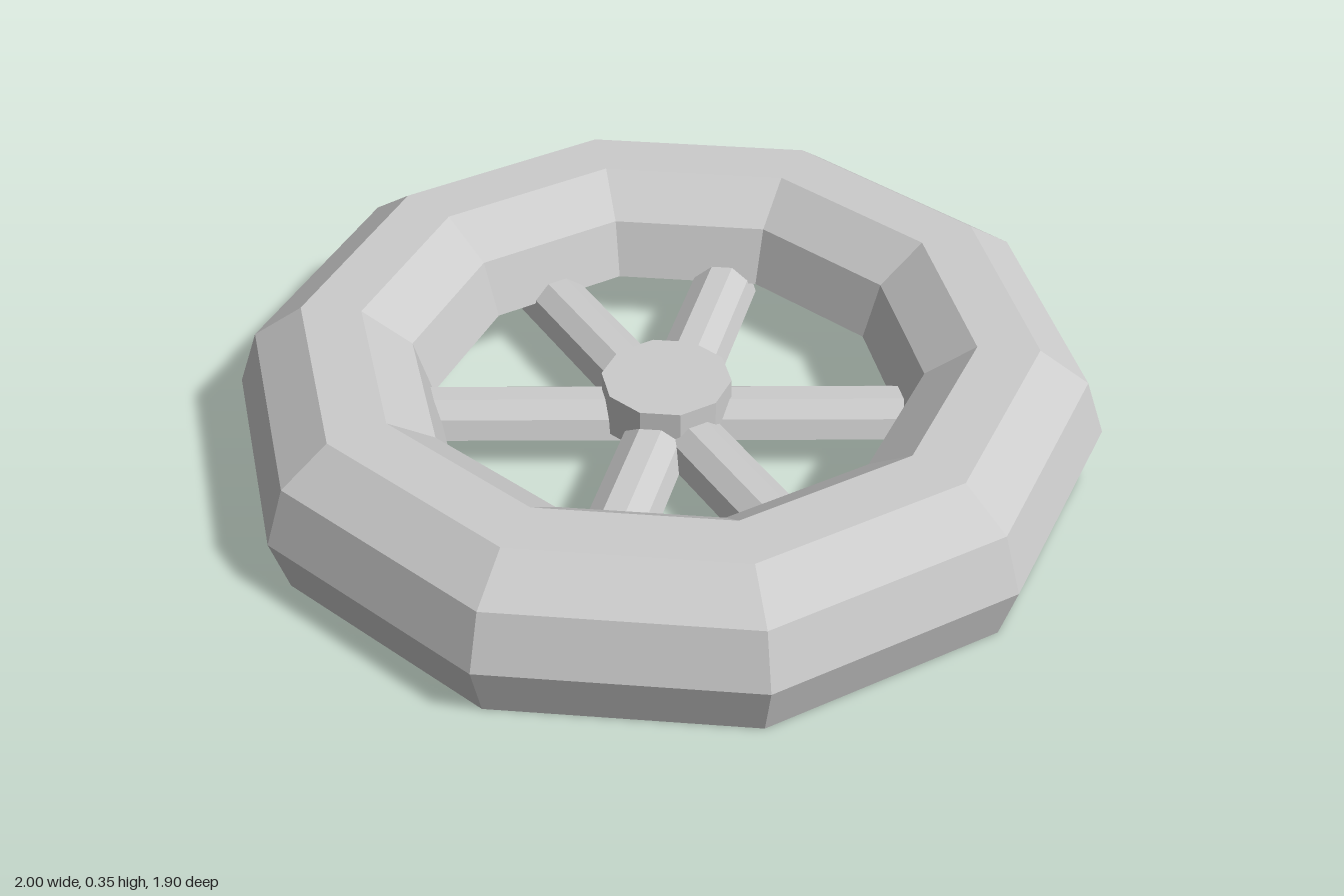
import * as THREE from 'three';

const RAD = Math.PI / 180;
const material = new THREE.MeshStandardMaterial({
  color: 0xcccccc, flatShading: true, side: THREE.DoubleSide,
});

function addMesh(parent, name, geometry) {
  const mesh = new THREE.Mesh(geometry, material);
  mesh.name = name;
  parent.add(mesh);
  return mesh;
}

// Revolves a profile in ten flat sides, with a corner on each end of the x axis
function tenSided(profile) {
  return new THREE.LatheGeometry(profile, 10, Math.PI / 2);
}

export function createModel() {
  const wheel = new THREE.Group();
  wheel.name = 'wheel';

  // Rim: hollow ring open below, its outer wall reaching lower than the inner one
  const rimProfile = [];
  for (let angle = 180; angle >= -36; angle -= 36) {
    rimProfile.push(new THREE.Vector2(
      0.772 + 0.228 * Math.cos(angle * RAD),
      0.135 + 0.228 * Math.sin(angle * RAD),
    ));
  }
  addMesh(wheel, 'rim', tenSided(rimProfile));

  // Three trough-shaped bars, open below, make six unevenly spaced spokes
  for (const angle of [0, 60, 135]) {
    const trough = new THREE.CylinderGeometry(0.08, 0.08, 1.13, 5, 1, true, Math.PI / 2, Math.PI);
    const bar = addMesh(wheel, 'spokeBar', trough.rotateX(Math.PI / 2));
    bar.position.y = 0.095;
    bar.rotation.y = angle * RAD;
  }

  // Hub: wall and flat top, open below
  const hubProfile = [[0.15, 0.11], [0.15, 0.217], [0, 0.217]].map(([r, y]) => new THREE.Vector2(r, y));
  addMesh(wheel, 'hub', tenSided(hubProfile));

  return wheel;
}
